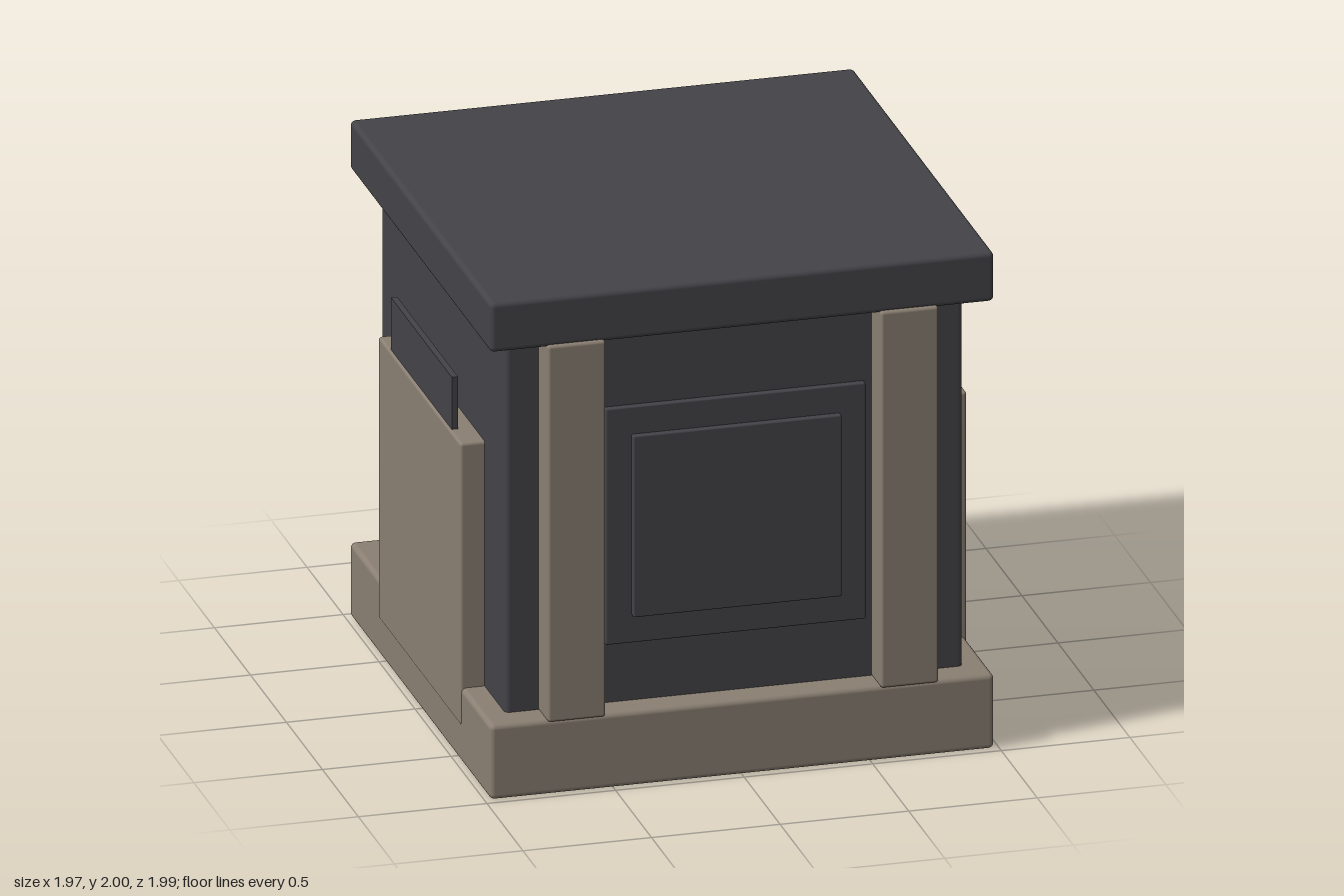
import * as THREE from 'three';
import { RoundedBoxGeometry } from 'three/addons/geometries/RoundedBoxGeometry.js';

export function createModel() {
  const model = new THREE.Group();
  model.name = 'blockBuilding';

  const material = (name, color) => {
    const m = new THREE.MeshStandardMaterial({ color });
    m.name = name;
    return m;
  };
  const slate = material('dark slate', 0x444348);
  const stone = material('warm stone', 0x8a7f72);
  const wood = material('orange wood', 0xb87a45);

  // Box given by its limits on each axis; r is the edge rounding
  function block(name, mat, [x0, x1], [y0, y1], [z0, z1], r = 0) {
    const size = [x1 - x0, y1 - y0, z1 - z0];
    const geometry = r
      ? new RoundedBoxGeometry(...size, 3, r)
      : new THREE.BoxGeometry(...size);
    const mesh = new THREE.Mesh(geometry, mat);
    mesh.name = name;
    mesh.position.set((x0 + x1) / 2, (y0 + y1) / 2, (z0 + z1) / 2);
    model.add(mesh);
    return mesh;
  }
  // Limits mirrored to the side given by s
  const side = (s, a, b) => (s > 0 ? [a, b] : [-b, -a]);

  // Main stack
  block('base', stone, [-0.98, 0.98], [0, 0.3], [-0.98, 0.975], 0.02);
  block('body', slate, [-0.89, 0.89], [0.25, 1.85], [-0.86, 0.86], 0.02);
  block('roof', slate, [-0.98, 0.98], [1.8, 2], [-0.98, 0.975], 0.02);

  for (const s of [1, -1]) {
    const face = s > 0 ? 'front' : 'back';
    // Corner pillars and stepped panel on front and back
    for (const t of [1, -1]) {
      block(face + 'Pillar', stone, side(t, 0.535, 0.76), [0.295, 1.81], side(s, 0.8, 0.99), 0.012);
    }
    block(face + 'PanelFrame', slate, [-0.505, 0.505], [0.54, 1.49], side(s, 0.82, 0.885), 0.006);
    block(face + 'PanelInset', slate, [-0.405, 0.405], [0.65, 1.38], side(s, 0.86, 0.91), 0.006);

    // Side buttress with a thin upright plate
    const flank = s > 0 ? 'left' : 'right';
    block(flank + 'Buttress', stone, side(s, 0.85, 0.985), [0.15, 1.285], [-0.565, 0.575], 0.012);
    block(flank + 'Plate', slate, side(s, 0.952, 0.976), [1.1, 1.495], [-0.42, 0.425]);

    // Back ladder rails
    block('ladderRail', wood, side(s, 0.48, 0.655), [0.225, 1.81], [-0.995, -0.93], 0.006);
  }

  // Ladder rungs
  for (const y of [0.475, 1.51]) {
    block('ladderRung', stone, [-0.57, 0.57], [y - 0.03, y + 0.03], [-1, -0.93]);
  }

  return model;
}
